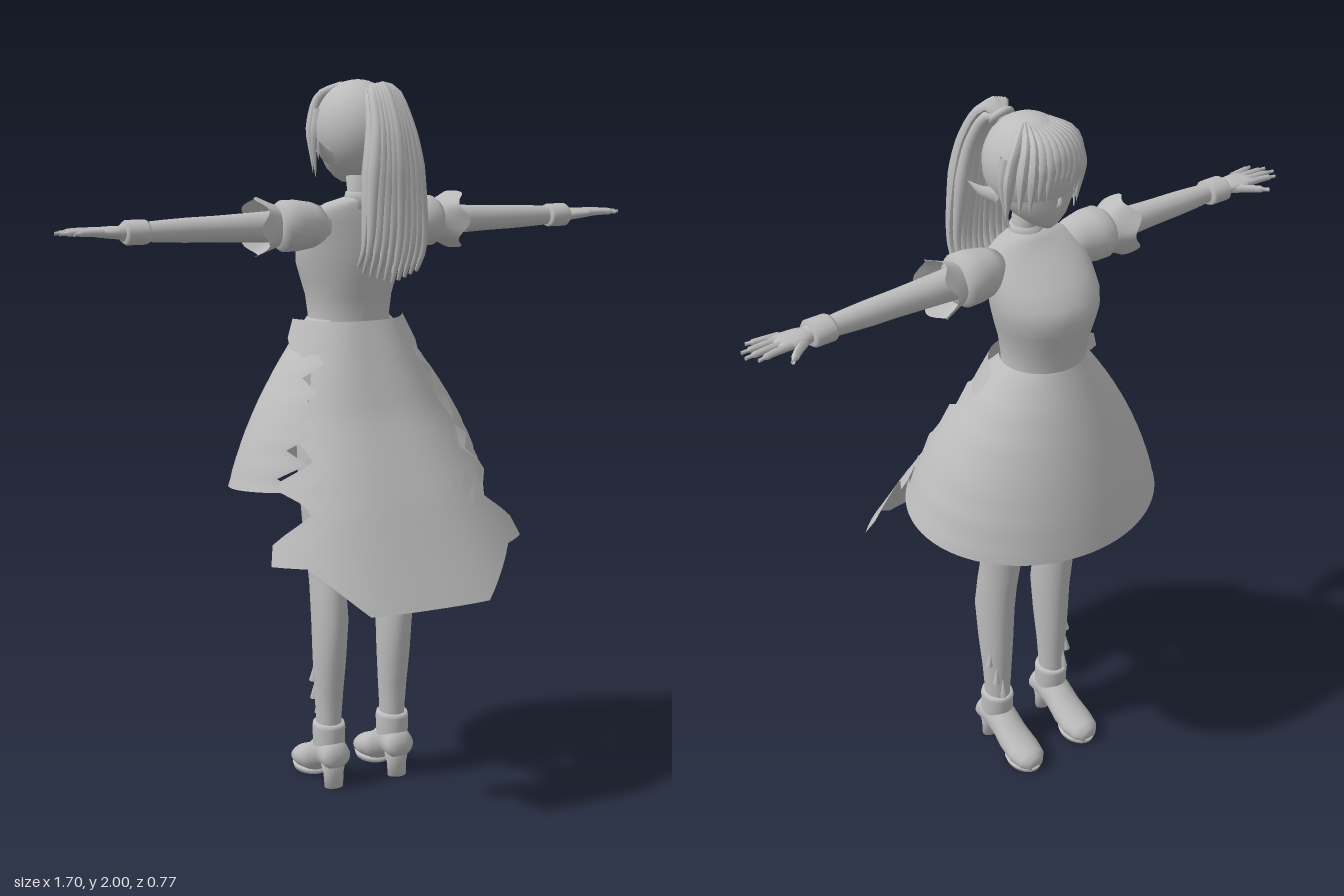
import * as THREE from 'three';
import { ParametricGeometry } from 'three/addons/geometries/ParametricGeometry.js';

const grey = new THREE.MeshStandardMaterial({ color: 0xbcbcbc, side: THREE.DoubleSide });
grey.name = 'plain grey';

function add(parent, name, geometry) {
  const mesh = new THREE.Mesh(geometry, grey);
  mesh.name = name;
  parent.add(mesh);
  return mesh;
}

// Closed body from elliptical rings [t, a, b, ra, rb] stacked along one axis
function loft(rings, axis = 'y', n = 24) {
  const pos = [], idx = [];
  const put = (t, a, b) => pos.push(...(axis === 'y' ? [a, t, b] : axis === 'z' ? [a, b, t] : [t, a, b]));
  for (const [t, a, b, ra, rb] of rings)
    for (let j = 0; j < n; j++) {
      const w = (j / n) * Math.PI * 2;
      put(t, a + ra * Math.cos(w), b + rb * Math.sin(w));
    }
  const first = rings[0], last = rings[rings.length - 1];
  put(first[0], first[1], first[2]);
  put(last[0], last[1], last[2]);
  const flip = (axis === 'y') !== (last[0] < first[0]);
  const tri = (a, b, c) => (flip ? idx.push(a, c, b) : idx.push(a, b, c));
  const c0 = rings.length * n, top = c0 - n;
  for (let j = 0; j < n; j++) {
    const k = (j + 1) % n;
    for (let i = 0; i < rings.length - 1; i++) {
      const p = i * n, q = p + n;
      tri(p + j, p + k, q + j);
      tri(p + k, q + k, q + j);
    }
    tri(c0, k, j);
    tri(c0 + 1, top + j, top + k);
  }
  const g = new THREE.BufferGeometry();
  g.setAttribute('position', new THREE.Float32BufferAttribute(pos, 3));
  g.setIndex(idx);
  g.computeVertexNormals();
  return g;
}

// Tapered lock following a curve; width is a function of 0..1 along it
function strand(points, radius, width, seg = 14, sides = 8) {
  const curve = new THREE.CatmullRomCurve3(points.map(p => new THREE.Vector3(...p)));
  const g = new THREE.TubeGeometry(curve, seg, radius, sides);
  const p = g.attributes.position, v = new THREE.Vector3();
  for (let i = 0; i < p.count; i++) {
    const t = Math.floor(i / (sides + 1)) / seg;
    const c = curve.getPointAt(t);
    v.fromBufferAttribute(p, i).sub(c).multiplyScalar(width(t)).add(c);
    p.setXYZ(i, v.x, v.y, v.z);
  }
  g.computeVertexNormals();
  return g;
}

// Linear lookup in a short [key, value] list with ascending keys
function lookup(list, k) {
  for (let i = 1; i < list.length; i++)
    if (k <= list[i][0]) {
      const [a, b] = [list[i - 1], list[i]];
      return THREE.MathUtils.mapLinear(Math.max(k, a[0]), a[0], b[0], a[1], b[1]);
    }
  return list[list.length - 1][1];
}

function surface(fn, nu, nv) {
  const g = new ParametricGeometry(fn, nu, nv);
  g.computeVertexNormals();
  return g;
}

function buildHead(head) {
  // Skull of hair, face and neck
  const skull = new THREE.SphereGeometry(1, 32, 24).scale(0.115, 0.132, 0.132).translate(0, 1.868, -0.065);
  add(head, 'hairCap', skull);
  add(head, 'face', loft([
    [1.722, 0, -0.13, 0.015, 0.02], [1.735, 0, -0.118, 0.04, 0.045], [1.76, 0, -0.1, 0.07, 0.076],
    [1.8, 0, -0.088, 0.094, 0.098], [1.86, 0, -0.085, 0.104, 0.104], [1.92, 0, -0.08, 0.09, 0.1]]));
  add(head, 'nose', strand([[0, 1.83, -0.178], [0, 1.805, -0.188], [0, 1.795, -0.182]], 0.009, t => 0.4 + 0.6 * t));
  add(head, 'neck', loft([[1.62, 0, -0.05, 0.05, 0.045], [1.69, 0, -0.047, 0.036, 0.037], [1.78, 0, -0.06, 0.038, 0.04]]));
  add(head, 'collar', loft([[1.655, 0, -0.05, 0.05, 0.05], [1.7, 0, -0.048, 0.041, 0.042]]));

  // Fringe, longer toward the temples
  for (let i = -6; i <= 6; i++) {
    const x = i * 0.018, k = Math.abs(i) / 6;
    const z = -0.065 - 0.132 * Math.sqrt(1 - (x / 0.122) ** 2);
    const tip = 1.845 - 0.095 * k + (i % 2 ? 0.012 : 0);
    add(head, 'fringeLock', strand([[x * 0.35, 1.985, -0.085], [x * 0.8, 1.955, z * 0.7 - 0.035],
      [x, 1.89, z], [x * 1.04, tip, z + 0.012]], 0.017, t => (t < 0.6 ? 0.6 + 0.6 * t : (1 - t) * 2.4 + 0.02)));
  }
  for (const s of [-1, 1]) {
    add(head, 'ear', strand([[s * 0.09, 1.8, -0.05], [s * 0.12, 1.812, -0.028], [s * 0.146, 1.838, 0]],
      0.026, t => 1 - 0.97 * t));
    add(head, 'sideLock', strand([[s * 0.1, 1.92, -0.1], [s * 0.114, 1.85, -0.1], [s * 0.104, 1.74, -0.115]],
      0.016, t => 1 - 0.9 * t));
  }

  // High ponytail in two layers
  const swell = t => (t < 0.5 ? 0.55 + 0.9 * t : 1.75 - 1.5 * t);
  for (let i = -4; i <= 4; i++)
    for (const layer of [0, 1]) {
      const x = i * 0.0195, d = layer * 0.032 + Math.abs(i) * 0.003;
      add(head, 'ponytailLock', strand([[0, 1.945, 0.04], [x * 0.35, 1.983 - d * 0.5, 0.085 - d * 0.5],
        [x * 0.6, 1.88, 0.16 - d], [x * 0.9, 1.7, 0.185 - d], [x * 1.02, 1.56, 0.182 - d],
        [x, 1.47 + Math.abs(i) * 0.007 + layer * 0.015, 0.145 - d]], 0.021, swell, 20));
    }
  const band = add(head, 'hairBand', new THREE.TorusGeometry(0.026, 0.01, 10, 24));
  band.position.set(0, 1.955, 0.052);
  band.rotation.x = -0.7;
}

function buildArm(arm, s) {
  const sleeveOf = (name, rings) => add(arm, name, loft(rings.map(([x, r, rz = r, y = 1.612]) =>
    [s * x, y, -0.07, r, rz]), 'x'));
  sleeveOf('arm', [[0.1, 0.05], [0.2, 0.045], [0.33, 0.039], [0.42, 0.035], [0.5, 0.033], [0.56, 0.03], [0.63, 0.025], [0.68, 0.022]]);
  sleeveOf('puffSleeve', [[0.11, 0.05], [0.14, 0.062], [0.19, 0.07, 0.074], [0.225, 0.07, 0.075], [0.245, 0.056, 0.06]]);
  // Flared sleeve trim with a wavy hem
  add(arm, 'sleeveFrill', surface((u, v, p) => {
    const w = u * Math.PI * 2, r = 0.054 + 0.026 * v;
    p.set(s * (0.235 + v * (0.066 + 0.014 * Math.cos(w * 5))), 1.612 + r * Math.sin(w), -0.073 + r * Math.cos(w));
  }, 40, 4));
  sleeveOf('wristCuff', [[0.608, 0.03, 0.038], [0.615, 0.033, 0.043], [0.665, 0.033, 0.043], [0.672, 0.028, 0.036]]);

  // Flat hand with spread fingers
  sleeveOf('palm', [[0.66, 0.018, 0.024], [0.7, 0.017, 0.036, 1.614], [0.745, 0.013, 0.04, 1.616], [0.765, 0.008, 0.034, 1.616]]);
  const round = t => (t > 0.85 ? 0.45 : 1 - 0.3 * t);
  [[-0.099, -0.112, 0.832], [-0.079, -0.084, 0.852], [-0.059, -0.056, 0.846], [-0.041, -0.025, 0.818]].forEach(([a, b, x]) =>
    add(arm, 'finger', strand([[s * 0.735, 1.617, a], [s * 0.79, 1.618, (a + b) / 2], [s * x, 1.616, b]], 0.0105, round)));
  add(arm, 'thumb', strand([[s * 0.685, 1.61, -0.085], [s * 0.73, 1.61, -0.12], [s * 0.768, 1.61, -0.157]], 0.013, round));
}

function buildLeg(leg, s) {
  const x = s * 0.102;
  add(leg, 'leg', loft([
    [0.12, x, -0.05, 0.034, 0.042], [0.2, x, -0.052, 0.035, 0.043], [0.28, x, -0.05, 0.04, 0.048],
    [0.38, x, -0.045, 0.045, 0.06], [0.5, x, -0.041, 0.049, 0.07], [0.6, x, -0.055, 0.048, 0.069],
    [0.68, x, -0.072, 0.05, 0.067], [0.78, x, -0.08, 0.058, 0.074], [0.93, s * 0.098, -0.085, 0.072, 0.085],
    [1.12, s * 0.085, -0.1, 0.082, 0.095]]));
  // Ankle boot: shaft, foot and heel
  add(leg, 'bootShaft', loft([[0.08, x, -0.047, 0.042, 0.046], [0.12, x, -0.05, 0.045, 0.05],
    [0.175, x, -0.051, 0.047, 0.051], [0.188, x, -0.051, 0.044, 0.048]]));
  const foot = [[0.012, 0.025, 0.07, 0.11], [0.0, 0.044, 0.058, 0.135], [-0.045, 0.047, 0.05, 0.16], [-0.09, 0.046, 0.03, 0.14],
    [-0.13, 0.05, 0.008, 0.105], [-0.18, 0.053, 0, 0.078], [-0.22, 0.045, 0, 0.062], [-0.24, 0.026, 0.005, 0.05]];
  add(leg, 'bootFoot', loft(foot.map(([z, r, lo, hi]) => [z, x, (lo + hi) / 2, r, (hi - lo) / 2]), 'z'));
  add(leg, 'sole', loft([[0, x, -0.18, 0.046, 0.06], [0.016, x, -0.18, 0.051, 0.064]]));
  add(leg, 'heel', loft([[0, x, -0.018, 0.028, 0.02], [0.04, x, -0.02, 0.03, 0.024], [0.09, x, -0.025, 0.04, 0.034]]));
  // Ragged flaps at the front of the shin
  for (const [y, w] of [[0.2, 0.3], [0.25, 0.75], [0.31, 1.2]])
    add(leg, 'bootFlap', strand([[x + s * 0.036 * Math.sin(w), y + 0.06, -0.05 - 0.045 * Math.cos(w)],
      [x + s * 0.045 * Math.sin(w), y, -0.052 - 0.05 * Math.cos(w)]], 0.01, t => 0.2 + 0.8 * t, 4, 6));
}

function buildDress(dress) {
  add(dress, 'bodice', loft([
    [1.1, 0, -0.11, 0.15, 0.12], [1.25, 0, -0.12, 0.125, 0.11], [1.35, 0, -0.127, 0.115, 0.107],
    [1.41, 0, -0.128, 0.122, 0.117], [1.46, 0, -0.13, 0.136, 0.129], [1.5, 0, -0.132, 0.147, 0.134],
    [1.54, 0, -0.125, 0.152, 0.13], [1.58, 0, -0.108, 0.152, 0.11], [1.62, 0, -0.085, 0.15, 0.085],
    [1.65, 0, -0.067, 0.135, 0.062], [1.67, 0, -0.058, 0.1, 0.05], [1.685, 0, -0.052, 0.045, 0.042]], 'y', 32));

  // Bell skirt, open behind with ragged edges
  add(dress, 'bellSkirt', surface((u, v, p) => {
    const rag = [0, 0.14, -0.1, 0.12, -0.14, 0.1, -0.05][Math.round(v * 12) % 7];
    const a = (u * 2 - 1) * (2.25 + rag);
    const f = v * (1.5 - 0.5 * v);
    const rx = 0.118 + 0.252 * f, rz = 0.11 + 0.195 * f;
    const hem = 0.895 - 0.035 * Math.cos(a);
    p.set(rx * Math.sin(a), 1.35 + (hem - 1.35) * v, -0.125 + 0.045 * f - rz * Math.cos(a));
  }, 56, 12));

  // Long back panel with a stepped hem and torn sides
  const edge = [[0.63, 0.38], [0.745, 0.38], [0.8, 0.362], [0.88, 0.25], [0.93, 0.33], [1.0, 0.22],
    [1.06, 0.25], [1.12, 0.2], [1.24, 0.165], [1.28, 0.2], [1.35, 0.17]];
  const ridge = [[0.63, 0.39], [0.745, 0.325], [0.89, 0.245], [1.1, 0.115], [1.35, 0.0]];
  const hemLine = [[0, 0.63], [0.47, 0.63], [0.8, 0.745], [1, 0.745]];
  add(dress, 'backPanel', surface((u, v, p) => {
    const k = u * 2 - 1;
    const y = 1.35 + (lookup(hemLine, Math.abs(k)) - 1.35) * v;
    const x = k * lookup(edge, y);
    const full = THREE.MathUtils.mapLinear(y, 1.35, 0.745, 0.17, 0.38);
    p.set(x, y, lookup(ridge, y) - 0.13 * Math.min(1.1, Math.abs(x) / full) ** 3);
  }, 30, 24));
}

export function createModel() {
  const model = new THREE.Group();
  model.name = 'ponytailFigure';
  const group = name => {
    const g = new THREE.Group();
    g.name = name;
    model.add(g);
    return g;
  };
  buildHead(group('head'));
  buildDress(group('dress'));
  for (const [s, side] of [[1, 'Left'], [-1, 'Right']]) {
    buildArm(group('arm' + side), s);
    buildLeg(group('leg' + side), s);
  }
  return model;
}
